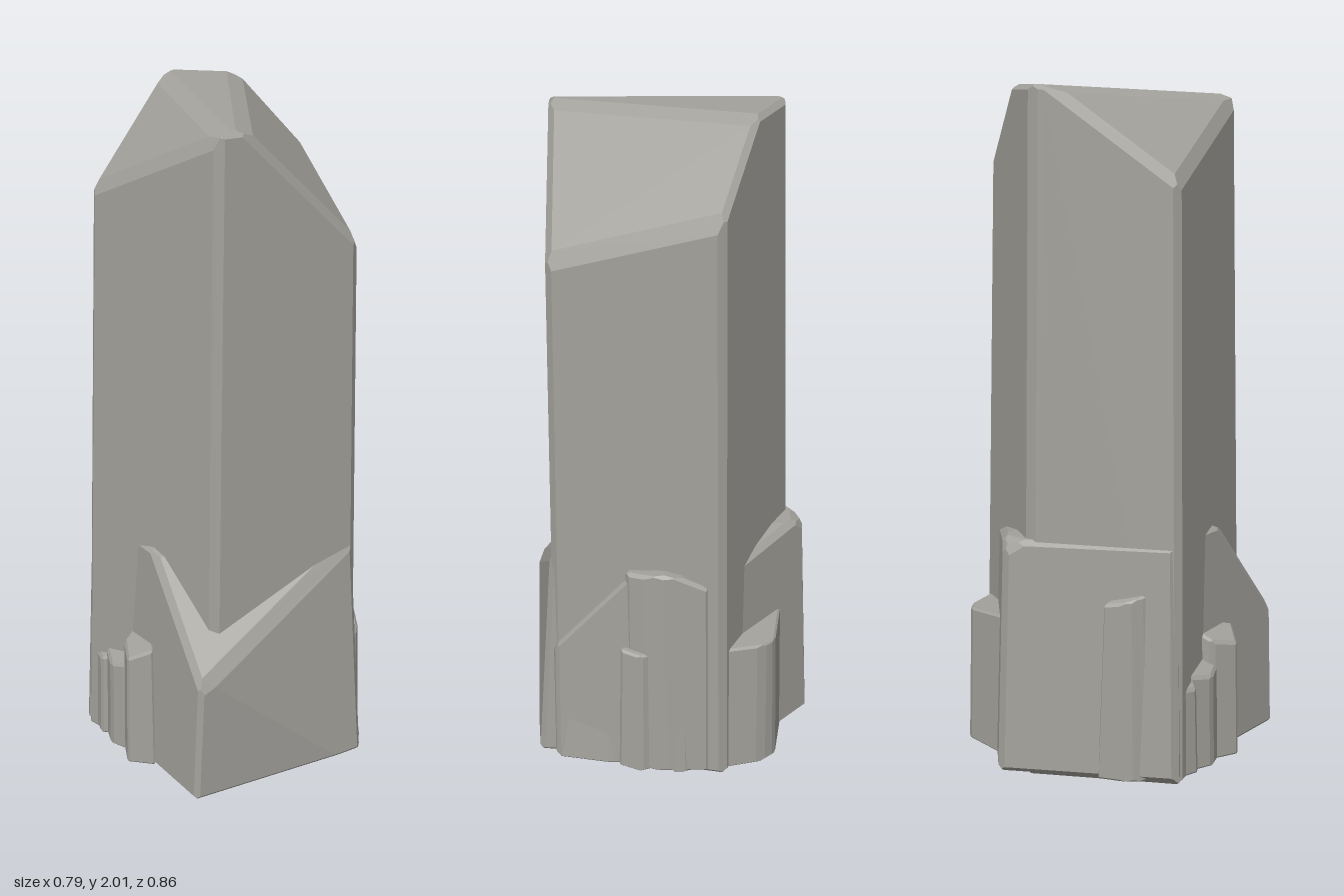
import * as THREE from 'three';

const V = (x, y, z) => new THREE.Vector3(x, y, z);

// Corner points of the solid bounded by planes { n, d } (n . p <= d)
function corners(planes) {
  const pts = [];
  const c = V(0, 0, 0);
  for (let i = 0; i < planes.length; i++)
    for (let j = i + 1; j < planes.length; j++)
      for (let k = j + 1; k < planes.length; k++) {
        const [a, b, e] = [planes[i], planes[j], planes[k]];
        c.crossVectors(b.n, e.n);
        const det = a.n.dot(c);
        if (Math.abs(det) < 1e-5) continue;
        const p = c.clone().multiplyScalar(a.d)
          .add(V(0, 0, 0).crossVectors(e.n, a.n).multiplyScalar(b.d))
          .add(V(0, 0, 0).crossVectors(a.n, b.n).multiplyScalar(e.d))
          .divideScalar(det);
        if (planes.some((q) => q.n.dot(p) > q.d + 1e-6)) continue;
        if (pts.some((q) => q.distanceTo(p) < 1e-5)) continue;
        pts.push(p);
      }
  return pts;
}

const onPlane = (pl, p) => Math.abs(pl.n.dot(p) - pl.d) < 1e-5;

// One chamfer plane along every clear edge of the solid
function chamfers(planes, t) {
  const pts = corners(planes);
  const out = [];
  planes.forEach((a, i) => {
    planes.slice(i + 1).forEach((b) => {
      const shared = pts.filter((p) => onPlane(a, p) && onPlane(b, p));
      if (shared.length < 2 || a.n.dot(b.n) > 0.92) return;
      const n = a.n.clone().add(b.n).normalize();
      out.push({ n, d: n.dot(shared[0]) - t });
    });
  });
  return out;
}

// Flat faces: the corners of each plane sorted around its normal, then fanned
function solid(planes) {
  const pts = corners(planes);
  const pos = [];
  for (const pl of planes) {
    const face = pts.filter((p) => onPlane(pl, p));
    if (face.length < 3) continue;
    const mid = V(0, 0, 0);
    face.forEach((p) => mid.addScaledVector(p, 1 / face.length));
    const u = face[0].clone().sub(mid).normalize();
    const v = V(0, 0, 0).crossVectors(pl.n, u);
    const angle = (p) => Math.atan2(p.clone().sub(mid).dot(v), p.clone().sub(mid).dot(u));
    face.sort((p, q) => angle(p) - angle(q));
    for (let i = 1; i < face.length - 1; i++)
      for (const p of [face[0], face[i], face[i + 1]]) pos.push(p.x, p.y, p.z);
  }
  const g = new THREE.BufferGeometry();
  g.setAttribute('position', new THREE.Float32BufferAttribute(pos, 3));
  g.computeVertexNormals();
  return g;
}

// Tapered crystal: [x, z] rings at y = 0 and y = h, cut by roofs y <= c + a x + b z
function crystalGeometry({ ring, top, h, roofs, bevel, base = 0 }) {
  const n = ring.length;
  const centre = V(0, h / 2, 0);
  ring.forEach(([x, z]) => { centre.x += x / n; centre.z += z / n; });
  const planes = [{ n: V(0, -1, 0), d: -base }];
  for (let i = 0; i < n; i++) {
    const j = (i + 1) % n;
    const a = V(ring[i][0], 0, ring[i][1]);
    const b = V(ring[j][0], 0, ring[j][1]);
    const m = V((top[i][0] + top[j][0]) / 2, h, (top[i][1] + top[j][1]) / 2);
    const nor = b.clone().sub(a).cross(m.sub(a)).normalize();
    if (nor.dot(centre.clone().sub(a)) > 0) nor.negate();
    planes.push({ n: nor, d: nor.dot(a) });
  }
  for (const [c, a, b] of roofs) {
    const nor = V(-a, 1, -b);
    const len = nor.length();
    planes.push({ n: nor.divideScalar(len), d: c / len });
  }
  return solid([...planes, ...chamfers(planes, bevel)]);
}

// Ring pulled towards a point, for simple tapers
const taper = (ring, [cx, cz], k) => ring.map(([x, z]) => [cx + (x - cx) * k, cz + (z - cz) * k]);

export function createModel() {
  const model = new THREE.Group();
  model.name = 'crystalPillar';
  const material = new THREE.MeshStandardMaterial({ color: 0xa3a19b, flatShading: true });
  const add = (name, spec) => {
    const mesh = new THREE.Mesh(crystalGeometry(spec), material);
    mesh.name = name;
    model.add(mesh);
  };

  // Tall five-sided shaft with a three-facet crown
  add('mainShaft', {
    ring: [[-0.01, -0.38], [0.395, -0.155], [0.275, 0.365], [-0.22, 0.365], [-0.4, -0.14]],
    top: [[-0.01, -0.325], [0.36, -0.135], [0.24, 0.343], [-0.205, 0.343], [-0.325, -0.105]],
    h: 2,
    roofs: [[2.048, -0.967, -0.53], [2.08, 0.92, 0.138], [1.987, 0, -0.06]],
    bevel: 0.011,
  });

  // Broad slab in front with a slanted top
  add('frontSlab', {
    ring: [[-0.305, 0.425], [0.275, 0.415], [0.305, 0.1], [-0.345, 0]],
    top: [[-0.285, 0.45], [0.25, 0.4], [0.28, 0.1], [-0.305, 0]],
    h: 0.7, base: 0.012,
    roofs: [[1.025, 0.457, -1.19], [5.9, -1.17, -13.6], [0.71, 0, 0]],
    bevel: 0.009,
  });

  // Broad slab behind
  add('backSlab', {
    ring: [[0.05, -0.44], [-0.4, -0.155], [-0.36, -0.05], [0.1, 0], [0.31, -0.2]],
    top: [[0.05, -0.405], [-0.375, -0.14], [-0.34, -0.05], [0.1, 0], [0.28, -0.2]],
    h: 0.7, base: 0.012,
    roofs: [[0.715, 0, 0], [0.735, -0.2, 0], [1.16, 0, 1.15]],
    bevel: 0.011,
  });

  // Thin slab hugging the front right face, its top falling towards the front
  add('sideSlab', {
    ring: [[0.25, 0.37], [0.3, 0.355], [0.372, 0.05], [0.25, 0.05]],
    top: [[0.25, 0.36], [0.275, 0.345], [0.358, 0.05], [0.25, 0.05]],
    h: 0.7, base: 0.012,
    roofs: [[0.82, 0, -1.18], [0.69, 0, 0]],
    bevel: 0.005,
  });

  // Rounded plate on the +x side
  add('sidePlate', {
    ring: [[0.29, -0.12], [0.39, -0.11], [0.39, 0.05], [0.345, 0.14], [0.29, 0.14]],
    top: [[0.29, -0.11], [0.376, -0.105], [0.376, 0.05], [0.34, 0.14], [0.29, 0.14]],
    h: 0.7, base: 0.012,
    roofs: [[0.7, 0, -0.1], [0.7, 0, 0.45]],
    bevel: 0.007,
  });

  // Small shards around the foot: ring, taper centre, taper, height, roof slopes in x and z
  const shards = [
    ['backCornerShard', [[0.12, -0.345], [0.305, -0.315], [0.345, -0.27], [0.375, -0.15], [0.2, -0.1]], [0.25, -0.24], 0.88, 0.44, -0.1, 0.05],
    ['sideShard', [[0.29, 0.05], [0.37, 0.055], [0.388, 0.1], [0.355, 0.165], [0.29, 0.16]], [0.31, 0.09], 0.88, 0.435, -0.15, 0],
    ['frontCornerShard', [[0.24, 0.35], [0.31, 0.35], [0.343, 0.2], [0.345, 0.15], [0.25, 0.15]], [0.27, 0.22], 0.78, 0.18, -0.3, 0],
    ['lowPlateShard', [[0.36, -0.06], [0.393, -0.045], [0.393, 0], [0.36, 0.02]], [0.36, -0.02], 0.7, 0.26, -1, 0],
    ['leftShard', [[-0.392, 0.14], [-0.325, 0.195], [-0.28, 0.1], [-0.3, 0.02], [-0.36, 0.05]], [-0.31, 0.11], 0.9, 0.41, 0.6, 0],
    ['leftLowShard', [[-0.392, 0.02], [-0.36, 0.085], [-0.3, 0.05], [-0.3, -0.06], [-0.37, -0.06]], [-0.32, 0.01], 0.9, 0.33, 0.6, 0],
    ['leftBackShard', [[-0.392, -0.05], [-0.33, 0], [-0.3, -0.1], [-0.38, -0.12]], [-0.34, -0.07], 0.85, 0.3, 0.6, 0],
    ['backSpike', [[-0.31, -0.215], [-0.28, -0.247], [-0.2, -0.282], [-0.2, -0.16], [-0.33, -0.16]], [-0.25, -0.22], 0.75, 0.56, 0, 0.4],
  ];
  for (const [name, ring, c, k, h, a, b] of shards)
    add(name, {
      ring, top: taper(ring, c, k), h, base: 0.012,
      roofs: [[h - a * c[0] - b * c[1], a, b]],
      bevel: 0.004,
    });

  return model;
}
